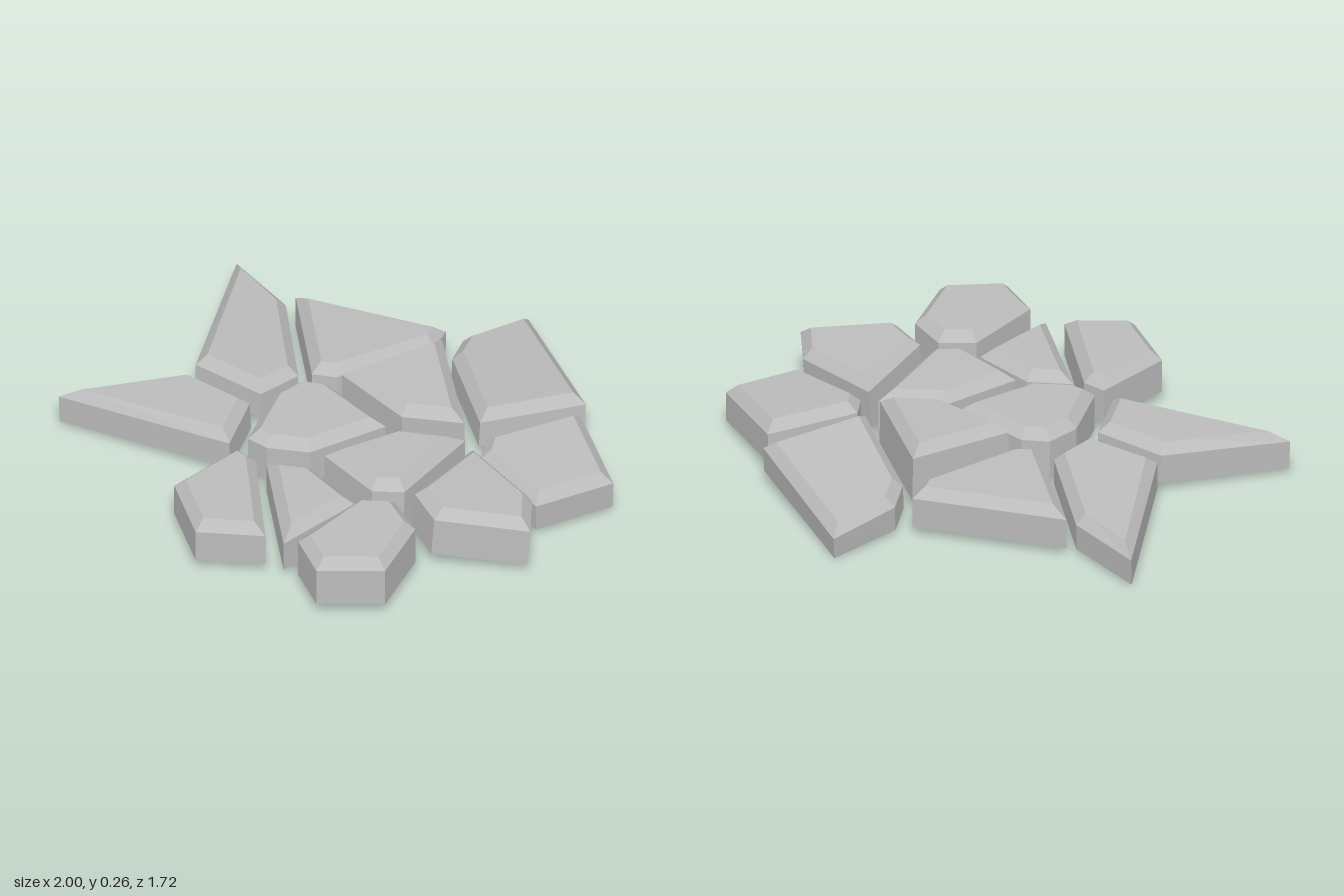
import * as THREE from 'three';

const stone = new THREE.MeshStandardMaterial({ color: 0xbcbcbc, side: THREE.DoubleSide, flatShading: true });
stone.name = 'stone grey';

const BEVEL = 0.036;

// Moves every corner inward, limiting the reach at sharp corners
function inset(outline, d) {
  const pts = outline.map(([x, z]) => new THREE.Vector2(x, z));
  const n = pts.length;
  const inward = pts.map((p, i) => {
    const e = pts[(i + 1) % n].clone().sub(p).normalize();
    return new THREE.Vector2(-e.y, e.x);
  });
  return pts.map((p, i) => {
    const a = inward[(i + n - 1) % n], b = inward[i];
    const m = a.clone().add(b).normalize();
    const reach = Math.min(d / m.dot(b), d * 2.2);
    return [p.x + m.x * reach, p.y + m.y * reach];
  });
}

// Upright walls, a bevelled rim and a flat tilted top, open underneath
function slabGeometry(outline, top, sx, sz) {
  const n = outline.length;
  const thick = top * 0.8;
  const cx = outline.reduce((s, p) => s + p[0], 0) / n;
  const cz = outline.reduce((s, p) => s + p[1], 0) / n;
  // Places a point that lies "drop" below the tilted top
  const place = ([x, z], drop) => {
    const lift = thick / 2 - drop;
    return [x - sx * lift, Math.max(0, top - drop + sx * (x - cx) + sz * (z - cz)), z - sz * lift];
  };
  const rings = [
    outline.map((p) => place(p, thick)),
    outline.map((p) => place(p, BEVEL)),
    inset(outline, BEVEL).map((p) => place(p, 0)),
  ];
  const centre = place([cx, cz], 0);
  const pos = [];
  for (let i = 0; i < n; i++) {
    const j = (i + 1) % n;
    for (let r = 0; r < 2; r++) {
      const lo = rings[r], hi = rings[r + 1];
      pos.push(...lo[i], ...hi[i], ...hi[j], ...lo[i], ...hi[j], ...lo[j]);
    }
    pos.push(...centre, ...rings[2][j], ...rings[2][i]);
  }
  const g = new THREE.BufferGeometry();
  g.setAttribute('position', new THREE.Float32BufferAttribute(pos, 3));
  g.computeVertexNormals();
  return g;
}

export function createModel() {
  const group = new THREE.Group();
  group.name = 'crackedStoneGround';

  // Outline [x, z] clockwise from above, top height at the middle, slopes along x and z
  const slab = (name, outline, top, sx = 0, sz = 0) => {
    const mesh = new THREE.Mesh(slabGeometry(outline, top, sx, sz), stone);
    mesh.name = name;
    group.add(mesh);
  };

  // Outer slabs, back
  slab('backLeftSlab', [[-0.64, -0.83], [-0.4, -0.64], [-0.23, -0.24], [-0.32, -0.09], [-0.59, -0.19]], 0.17, 0, 0.06);
  slab('backMiddleSlab', [[-0.37, -0.66], [0.19, -0.63], [0.18, -0.53], [-0.09, -0.25], [-0.18, -0.24]], 0.19, 0, 0.04);
  slab('backRightSlab', [[0.42, -0.86], [0.78, -0.38], [0.47, -0.13], [0.25, -0.51], [0.25, -0.64]], 0.165, 0, 0.13);

  // Outer slabs, sides
  slab('rightSlab', [[0.78, -0.31], [1, 0], [0.78, 0.2], [0.52, 0.02], [0.51, -0.08]], 0.18, -0.03, -0.06);
  slab('leftSlab', [[-1, 0.1], [-0.59, -0.13], [-0.34, -0.03], [-0.34, 0.21]], 0.18, 0.04);

  // Inner slabs
  slab('raisedSlab', [[0.22, -0.49], [0.43, -0.08], [0.21, -0.05], [-0.06, -0.21]], 0.25, 0, -0.04);
  slab('centreLeftSlab',
    [[-0.2, -0.17], [-0.1, -0.18], [0.16, -0.02], [-0.05, 0.2], [-0.2, 0.22], [-0.28, 0.19], [-0.27, -0.06]], 0.21);
  slab('centreSlab', [[0.21, 0.01], [0.45, -0.02], [0.34, 0.34], [0.23, 0.37], [0.01, 0.22]], 0.22, 0, 0.04);

  // Outer slabs, front
  slab('frontRightSlab', [[0.49, 0.03], [0.77, 0.23], [0.82, 0.41], [0.49, 0.48], [0.38, 0.36]], 0.225, -0.07, 0.05);
  slab('frontLeftSlab', [[-0.3, 0.25], [-0.22, 0.29], [-0.06, 0.69], [-0.3, 0.74], [-0.45, 0.51]], 0.2);
  slab('frontMiddleSlab', [[-0.18, 0.29], [-0.02, 0.27], [0.18, 0.41], [0.01, 0.7]], 0.19);
  slab('frontSlab', [[0.33, 0.41], [0.44, 0.53], [0.41, 0.79], [0.18, 0.86], [0.07, 0.72], [0.2, 0.44]], 0.228);

  return group;
}
